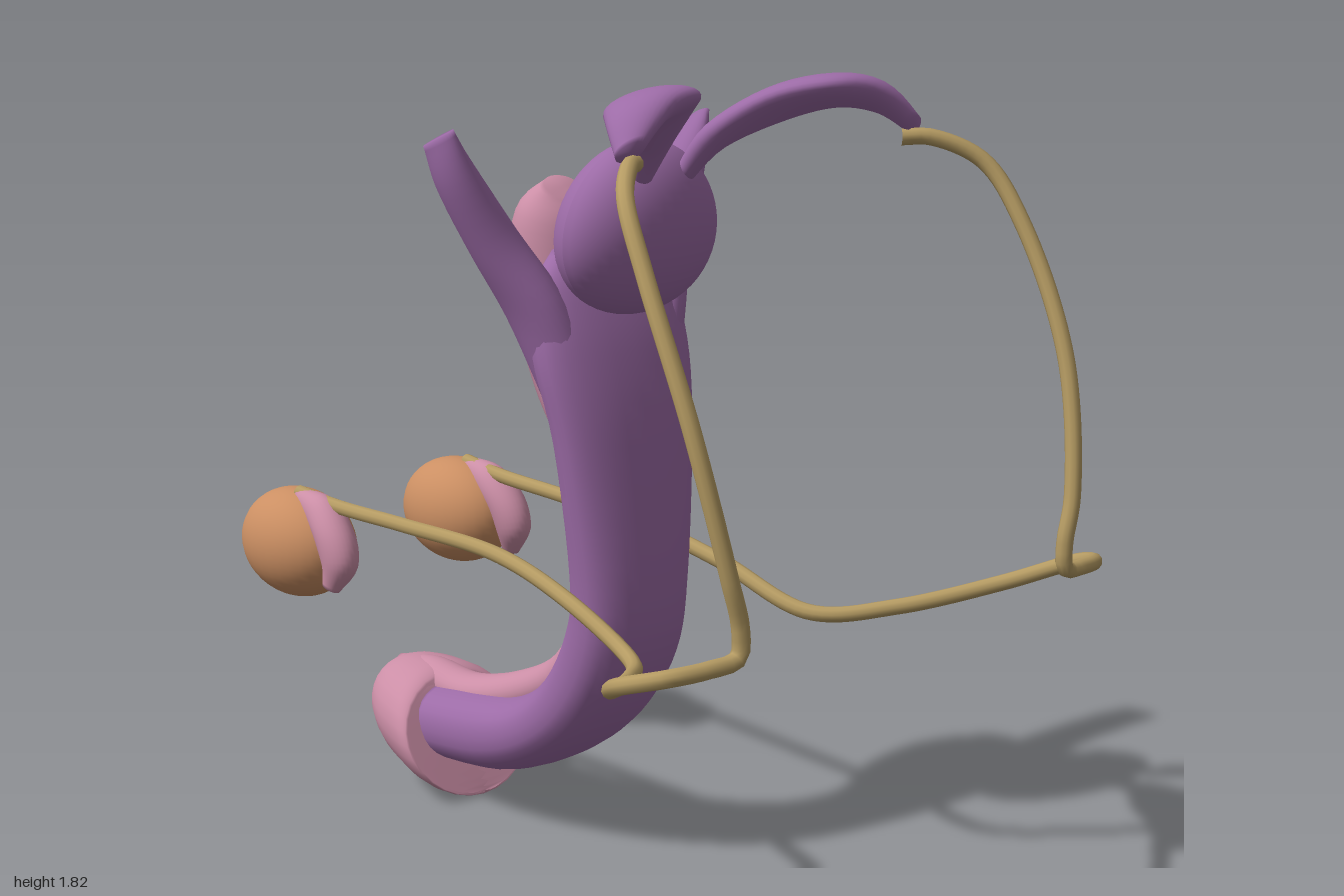
import * as THREE from 'three';

const mat = (name, color) => {
  const m = new THREE.MeshStandardMaterial({ color });
  m.name = name;
  return m;
};

// Catmull-Rom interpolation of every channel of a list of rows
function sampleRows(rows, steps) {
  const out = [], at = i => rows[Math.min(rows.length - 1, Math.max(0, i))];
  for (let i = 0; i < rows.length - 1; i++) {
    for (let s = 0; s < steps; s++) {
      const t = s / steps, [a, b, c, d] = [at(i - 1), at(i), at(i + 1), at(i + 2)];
      out.push(b.map((v, k) => 0.5 * (2 * v + (c[k] - a[k]) * t
        + (2 * a[k] - 5 * v + 4 * c[k] - d[k]) * t * t
        + (3 * v - a[k] - 3 * c[k] + d[k]) * t * t * t)));
    }
  }
  out.push(at(rows.length - 1));
  return out;
}

// Closed loft: each row is [edge A xyz, opposite edge B xyz, half width]
function loft(rows, power = 1, steps = 5, sides = 28) {
  const secs = sampleRows(rows, steps).map(r => {
    const a = new THREE.Vector3(r[0], r[1], r[2]), b = new THREE.Vector3(r[3], r[4], r[5]);
    return { c: a.clone().add(b).multiplyScalar(0.5), u: a.sub(b).multiplyScalar(0.5), w: r[6] };
  });
  const pos = [], idx = [], n = secs.length;
  const soft = v => Math.sign(v) * Math.abs(v) ** power;
  secs.forEach((s, i) => {
    const t = secs[Math.min(n - 1, i + 1)].c.clone().sub(secs[Math.max(0, i - 1)].c);
    const side = t.cross(s.u).normalize().multiplyScalar(s.w);
    for (let j = 0; j < sides; j++) {
      const a = j / sides * Math.PI * 2;
      const p = s.c.clone().addScaledVector(s.u, soft(Math.cos(a))).addScaledVector(side, soft(Math.sin(a)));
      pos.push(p.x, p.y, p.z);
    }
  });
  const first = n * sides, last = first + 1;
  pos.push(...secs[0].c.toArray(), ...secs[n - 1].c.toArray());
  for (let j = 0; j < sides; j++) {
    const k = (j + 1) % sides;
    for (let i = 0; i < n - 1; i++) {
      const p = i * sides, q = p + sides;
      idx.push(p + j, p + k, q + j, p + k, q + k, q + j);
    }
    idx.push(first, k, j, last, (n - 1) * sides + j, (n - 1) * sides + k);
  }
  const g = new THREE.BufferGeometry();
  g.setAttribute('position', new THREE.Float32BufferAttribute(pos, 3));
  g.setIndex(idx);
  g.computeVertexNormals();
  return g;
}

// Row on the middle plane: [yA, zA, yB, zB, halfWidth]
const mid = rows => rows.map(([ya, za, yb, zb, w]) => [0, ya, za, 0, yb, zb, w]);
const mirrorRows = (rows, s) => rows.map(r => r.map((v, k) => (k === 0 || k === 3 ? v * s : v)));

export function createModel() {
  const group = new THREE.Group();
  group.name = 'reproductiveAnatomy';
  const purple = mat('purple', 0x9c6ba6), pink = mat('pink', 0xcb8ea6);
  const brown = mat('orangeBrown', 0xcb8f63), tan = mat('tan', 0xb59b63);
  const add = (name, geometry, material, parent = group) => {
    const m = new THREE.Mesh(geometry, material);
    m.name = name;
    parent.add(m);
    return m;
  };

  // Main curved body
  add('cavernousBody', loft(mid([
    [1.42, 0.06, 1.42, -0.03, 0.12],
    [1.34, 0.10, 1.34, -0.03, 0.19],
    [1.2, 0.15, 1.2, -0.02, 0.212],
    [1.0, 0.19, 1.0, 0.03, 0.188],
    [0.67, 0.22, 0.7, 0.04, 0.152],
    [0.48, 0.19, 0.56, 0.016, 0.146],
    [0.32, 0.085, 0.42, -0.07, 0.143],
    [0.2, -0.07, 0.335, -0.19, 0.14],
    [0.12, -0.26, 0.3, -0.34, 0.138],
    [0.09, -0.5, 0.27, -0.55, 0.13],
  ]), 0.85), purple);

  // Slimmer pink column with a swollen upper end
  add('spongyBody', loft(mid([
    [1.52, -0.07, 1.565, -0.13, 0.05],
    [1.46, -0.03, 1.50, -0.20, 0.105],
    [1.31, 0.0, 1.33, -0.225, 0.118],
    [1.12, 0.03, 1.1, -0.155, 0.095],
    [0.94, 0.08, 0.94, -0.06, 0.075],
    [0.78, 0.11, 0.78, -0.01, 0.063],
    [0.58, 0.09, 0.6, -0.02, 0.06],
    [0.39, -0.02, 0.455, -0.1, 0.06],
    [0.28, -0.2, 0.365, -0.26, 0.058],
    [0.22, -0.42, 0.31, -0.45, 0.057],
    [0.22, -0.6, 0.315, -0.61, 0.05],
    [0.22, -0.74, 0.29, -0.745, 0.022],
  ])), pink);

  // Flared rounded end with a slanted rim
  add('glans', loft(mid([
    [0.25, -0.56, 0.07, -0.45, 0.13],
    [0.285, -0.54, 0.015, -0.405, 0.172],
    [0.305, -0.57, 0.005, -0.44, 0.185],
    [0.31, -0.63, 0.015, -0.52, 0.172],
    [0.305, -0.69, 0.045, -0.62, 0.148],
    [0.285, -0.74, 0.1, -0.71, 0.108],
    [0.24, -0.778, 0.16, -0.767, 0.05],
  ])), pink);
  const opening = add('opening', new THREE.TorusGeometry(0.012, 0.005, 8, 16), pink);
  opening.position.set(0, 0.2, -0.777);
  opening.rotation.x = 0.15;

  // Rounded gland, slightly fuller in the middle and narrow on top
  const prostate = new THREE.SphereGeometry(1, 40, 28);
  const p = prostate.attributes.position;
  for (let i = 0; i < p.count; i++) {
    const y = p.getY(i);
    p.setXYZ(i, p.getX(i) * 0.21 * (1 - 0.08 * y), 1.478 + y * 0.193, 0.15 + p.getZ(i) * 0.125 + y * 0.015);
  }
  prostate.computeVertexNormals();
  add('prostate', prostate, purple);

  // Paired parts
  for (const s of [1, -1]) {
    const side = new THREE.Group();
    side.name = s > 0 ? 'leftSide' : 'rightSide';
    group.add(side);

    add('crus', loft(mirrorRows([
      [0.37, 1.70, -0.02, 0.385, 1.66, -0.105, 0.014],
      [0.33, 1.60, 0.0, 0.34, 1.58, -0.11, 0.042],
      [0.255, 1.45, 0.035, 0.26, 1.45, -0.09, 0.056],
      [0.175, 1.3, 0.1, 0.18, 1.3, -0.06, 0.062],
      [0.11, 1.12, 0.14, 0.11, 1.12, -0.01, 0.07],
    ], s)), purple, side);

    add('seminalVesicle', loft(mirrorRows([
      [0.04, 1.60, 0.24, 0.08, 1.58, 0.22, 0.02],
      [0.05, 1.69, 0.32, 0.13, 1.67, 0.28, 0.03],
      [0.10, 1.77, 0.44, 0.26, 1.73, 0.35, 0.035],
      [0.18, 1.80, 0.54, 0.34, 1.76, 0.43, 0.035],
      [0.28, 1.79, 0.58, 0.40, 1.74, 0.51, 0.032],
      [0.38, 1.72, 0.60, 0.43, 1.69, 0.57, 0.02],
    ], s)), purple, side);

    const path = [
      [0.38, 1.68, 0.57], [0.43, 1.68, 0.61], [0.51, 1.63, 0.69], [0.54, 1.5, 0.78],
      [0.54, 1.23, 0.91], [0.50, 0.95, 0.975], [0.475, 0.85, 0.98], [0.48, 0.795, 0.98],
      [0.55, 0.783, 0.97], [0.63, 0.775, 0.94], [0.665, 0.75, 0.86], [0.58, 0.69, 0.73],
      [0.40, 0.635, 0.58], [0.27, 0.615, 0.44], [0.235, 0.685, 0.19], [0.22, 0.73, -0.07],
      [0.235, 0.735, -0.4], [0.25, 0.735, -0.65], [0.26, 0.745, -0.8],
    ].map(([x, y, z]) => new THREE.Vector3(x * s, y, z));
    add('vasDeferens', new THREE.TubeGeometry(new THREE.CatmullRomCurve3(path), 160, 0.018, 10), tan, side);

    const testis = add('testis', new THREE.SphereGeometry(1, 32, 24), brown, side);
    testis.scale.set(0.122, 0.136, 0.178);
    testis.position.set(0.25 * s, 0.615, -0.822);

    add('epididymis', loft(mirrorRows([
      [0.26, 0.757, -0.79, 0.26, 0.72, -0.8, 0.02],
      [0.26, 0.752, -0.68, 0.26, 0.67, -0.73, 0.042],
      [0.265, 0.68, -0.595, 0.265, 0.65, -0.70, 0.048],
      [0.27, 0.60, -0.57, 0.27, 0.59, -0.67, 0.04],
      [0.28, 0.53, -0.62, 0.28, 0.545, -0.67, 0.02],
    ], s)), pink, side);
  }
  return group;
}
